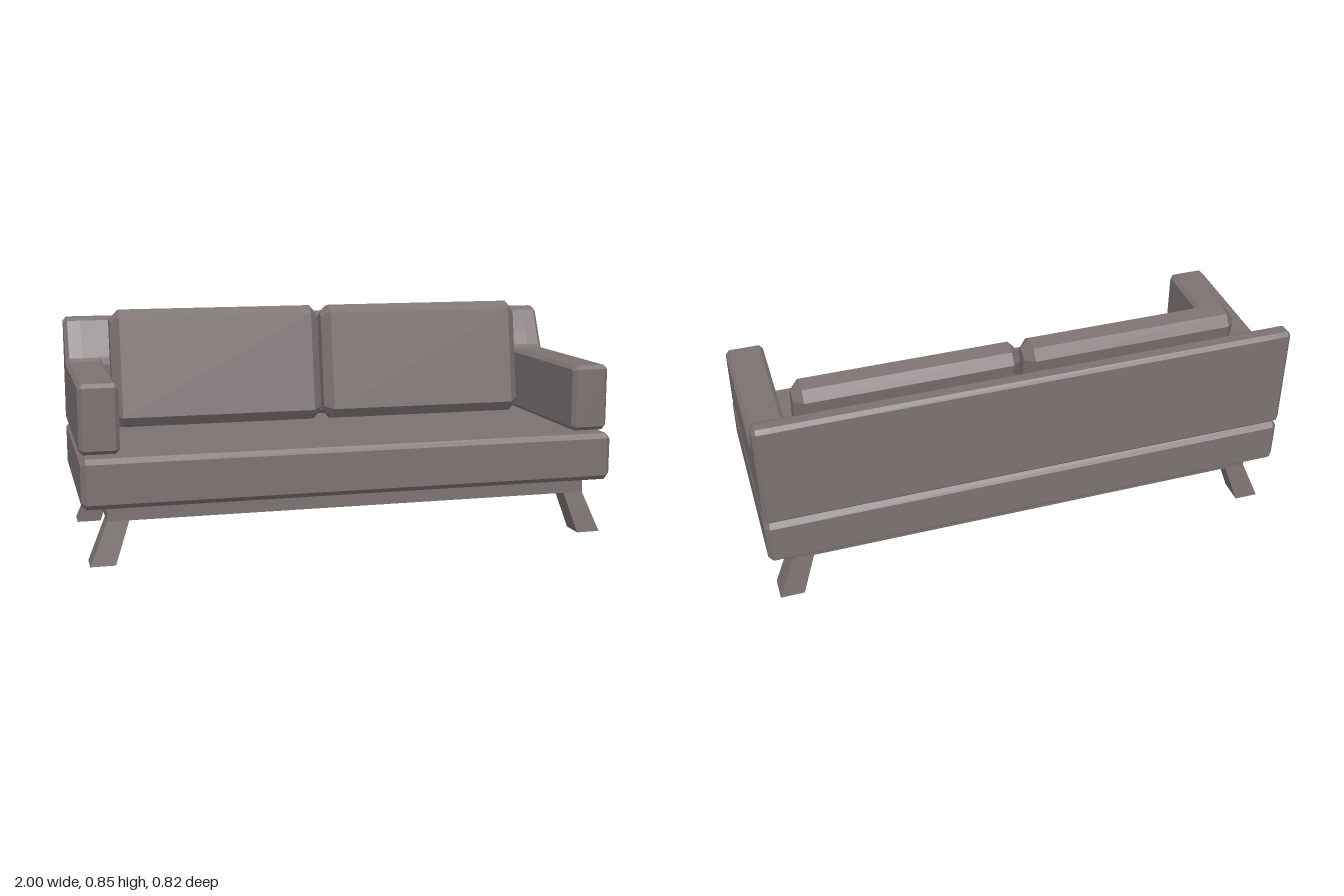
import * as THREE from 'three';

const fabric = new THREE.MeshStandardMaterial({ color: 0x7d7272, flatShading: true });

// Cut every corner of a polygon back by distance c
function chamferCorners(points, c) {
  const pts = points.map(([a, b]) => new THREE.Vector2(a, b));
  const n = pts.length;
  return pts.flatMap((p, i) => [pts[(i + n - 1) % n], pts[(i + 1) % n]].map((q) =>
    p.clone().add(q.clone().sub(p).setLength(c))));
}

// Prism along x from a (z, y) profile, with all edges chamfered by c
function chamferedPrism(name, points, width, c) {
  const geometry = new THREE.ExtrudeGeometry(new THREE.Shape(chamferCorners(points, c)), {
    depth: width - 2 * c, bevelEnabled: true, bevelSegments: 1,
    bevelSize: c, bevelThickness: c, bevelOffset: -c,
  });
  geometry.rotateY(-Math.PI / 2);
  geometry.translate(width / 2 - c, 0, 0);
  const mesh = new THREE.Mesh(geometry, fabric);
  mesh.name = name;
  return mesh;
}

const rect = (z0, y0, z1, y1) => [[z0, y0], [z1, y0], [z1, y1], [z0, y1]];

// Leg splayed outwards: the bottom corners are moved to the foot's footprint
function makeLeg(sx, sz) {
  const geometry = new THREE.BoxGeometry(1, 1, 1);
  const p = geometry.attributes.position;
  for (let i = 0; i < p.count; i++) {
    const low = p.getY(i) < 0;
    const outX = p.getX(i) * sx > 0;
    const outZ = p.getZ(i) * sz > 0;
    const x = low ? (outX ? 0.975 : 0.885) : (outX ? 0.91 : 0.832);
    const z = low ? (outZ ? 0.374 : 0.28) : (outZ ? 0.35 : 0.263);
    p.setXYZ(i, sx * x, low ? 0 : 0.155, sz * z + 0.005);
  }
  geometry.computeVertexNormals();
  const leg = new THREE.Mesh(geometry, fabric);
  leg.name = (sz > 0 ? 'front' : 'back') + (sx > 0 ? 'Left' : 'Right') + 'Leg';
  return leg;
}

export function createModel() {
  const sofa = new THREE.Group();
  sofa.name = 'sofa';

  // Seat
  sofa.add(chamferedPrism('seat', rect(-0.408, 0.21, 0.41, 0.39), 2, 0.018));

  // Underframe
  const frame = new THREE.Mesh(new THREE.BoxGeometry(1.82, 0.065, 0.7), fabric);
  frame.name = 'underframe';
  frame.position.set(0, 0.1875, 0.005);
  sofa.add(frame);

  // Backrest, running into both arms
  const slope = [[-0.264, 0.645], [-0.344, 0.811], [-0.41, 0.811]];
  sofa.add(chamferedPrism('backrest', [[-0.41, 0.397], [-0.264, 0.397], ...slope], 1.9, 0.014));

  for (const side of [1, -1]) {
    const label = side > 0 ? 'left' : 'right';

    // Arm whose rear end rises to the backrest height
    const arm = chamferedPrism(label + 'Arm',
      [[-0.41, 0.397], [0.365, 0.397], [0.365, 0.647], ...slope], 0.143, 0.014);
    arm.position.x = side * 0.9285;
    sofa.add(arm);

    // Leaning back cushion
    const cushion = chamferedPrism(label + 'Cushion',
      rect(-0.0635, -0.2275, 0.0635, 0.2275), 0.827, 0.034);
    cushion.position.set(side * 0.42, 0.622, -0.195);
    cushion.rotation.x = -0.163;
    sofa.add(cushion);

    for (const end of [1, -1]) sofa.add(makeLeg(side, end));
  }
  return sofa;
}
